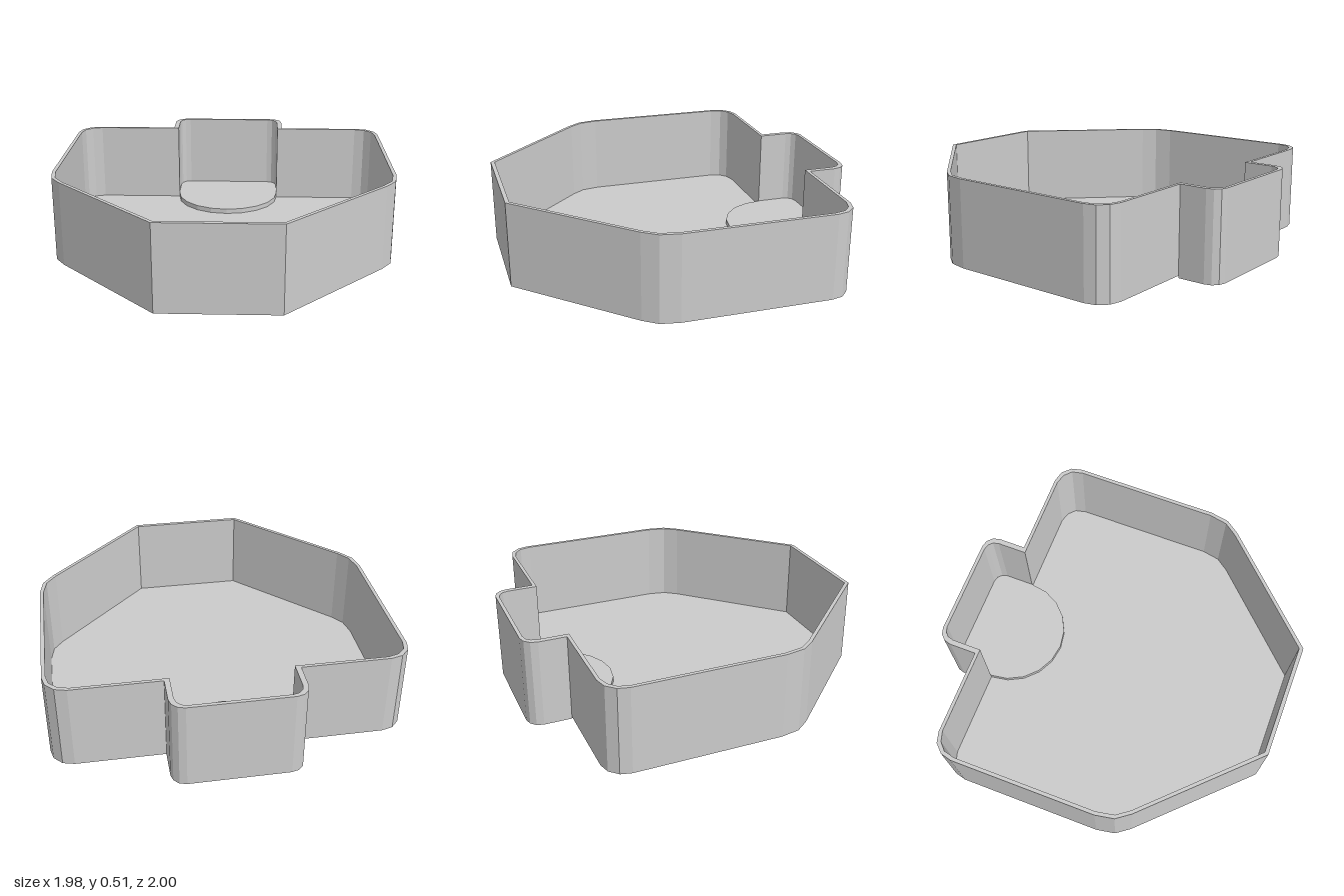
import * as THREE from 'three';

const FLOOR_BOTTOM = 0.013, FLOOR_TOP = 0.027, PAD_TOP = 0.057, RIM = 0.512;

// Half outlines as [x, z], running from the back to the front on the +x side
const tabOuter = [[0.283, -1], [0.323, -0.989], [0.352, -0.96], [0.363, -0.92], [0.363, -0.762]];
const tabInner = [[0.268, -0.98], [0.301, -0.971], [0.324, -0.948], [0.333, -0.915], [0.333, -0.743]];
const bodyOuter = [[0.86, -0.762], [0.925, -0.745], [0.972, -0.697], [0.988, -0.633],
  [0.988, 0.22], [0.968, 0.33], [0.91, 0.41], [0.335, 1]];
const bodyInner = [[0.85, -0.743], [0.91, -0.725], [0.952, -0.685], [0.967, -0.62],
  [0.967, 0.22], [0.947, 0.325], [0.892, 0.4], [0.328, 0.977]];

// Full closed outline from one half, mirrored in x, counter-clockwise
function outline(half) {
  const mirrored = half.map(([x, z]) => [-x, z]);
  return [...mirrored, ...half.toReversed()].map(([x, z]) => new THREE.Vector2(x, -z));
}

// Upright prism between two heights, optionally with a hole
function prism(name, half, y0, y1, holeHalf) {
  const shape = new THREE.Shape(outline(half));
  if (holeHalf) shape.holes.push(new THREE.Path(outline(holeHalf)));
  const geometry = new THREE.ExtrudeGeometry(shape, { depth: y1 - y0, bevelEnabled: false });
  geometry.rotateX(-Math.PI / 2);
  geometry.translate(0, y0, 0);
  const material = new THREE.MeshStandardMaterial({ color: 0xcccccc, flatShading: true });
  const mesh = new THREE.Mesh(geometry, material);
  mesh.name = name;
  return mesh;
}

export function createModel() {
  const group = new THREE.Group();
  group.name = 'tray';

  // Main floor plate
  group.add(prism('floor', [[0.363, -0.762], ...bodyOuter], FLOOR_BOTTOM, FLOOR_TOP));

  // Thin wall running around body and rear tab
  group.add(prism('wall', [...tabOuter, ...bodyOuter], FLOOR_TOP, RIM, [...tabInner, ...bodyInner]));

  // Thicker pad under the tab, ending in a half-round inside the tray
  const arc = [];
  for (let i = 0; i < 5; i++) {
    const a = (i / 5) * Math.PI / 2;
    arc.push([0.333 * Math.cos(a), -0.743 + 0.333 * Math.sin(a)]);
  }
  arc.push([0.001, -0.41]);
  group.add(prism('tabPad', [...tabOuter, ...arc], 0, PAD_TOP));

  return group;
}
